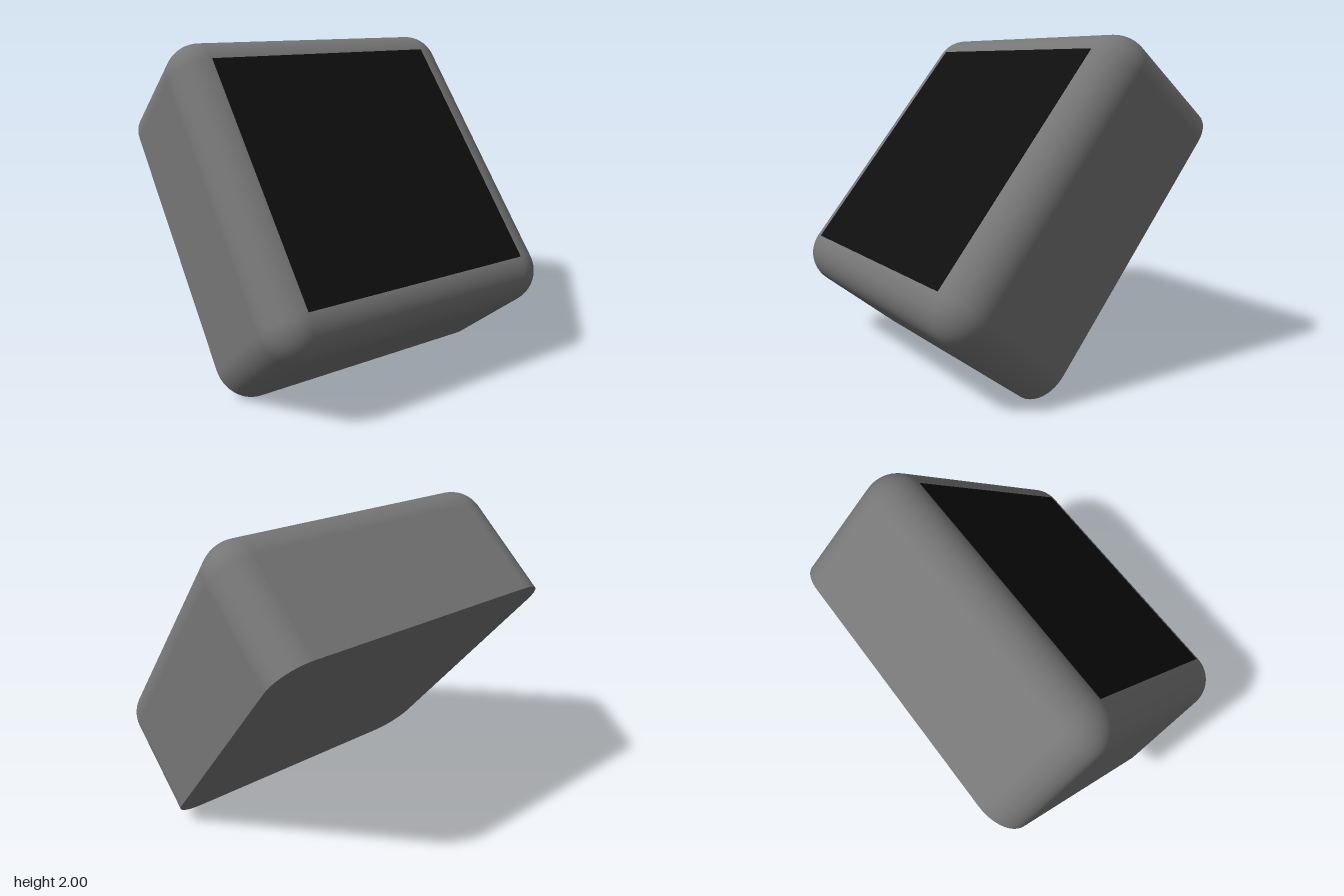
import * as THREE from 'three';
import { RoundedBoxGeometry } from 'three/addons/geometries/RoundedBoxGeometry.js';

const HEIGHT = 0.846, RADIUS = 0.212, TILT = 0.89;

// Rounded block whose lower half is flattened into a sharp-edged flat base
function flatBackedBlock() {
  const geo = new RoundedBoxGeometry(2, HEIGHT * 2, 2, 8, RADIUS);
  const pos = geo.attributes.position, nor = geo.attributes.normal;
  for (let i = 0; i < pos.count; i += 3) {
    const corners = [i, i + 1, i + 2];
    const onBase = corners.every((c) => pos.getY(c) < 0);
    for (const c of corners) {
      if (pos.getY(c) < 0) pos.setY(c, 0);
      if (onBase) nor.setXYZ(c, 0, -1, 0);
    }
  }
  return geo;
}

export function createModel() {
  const casingGrey = new THREE.MeshStandardMaterial({ color: 0x757575 });
  casingGrey.name = 'casingGrey';
  const screenBlack = new THREE.MeshStandardMaterial({ color: 0x0e0e0e });
  screenBlack.name = 'screenBlack';

  // Casing
  const casing = new THREE.Mesh(flatBackedBlock(), casingGrey);
  casing.name = 'casing';

  // Square screen filling the flat part of the top
  const side = 1.576;
  const screen = new THREE.Mesh(new THREE.BoxGeometry(side, 0.004, side), screenBlack);
  screen.name = 'screen';
  screen.position.y = HEIGHT + 0.001;

  // Whole unit leans over on one edge of its base
  const unit = new THREE.Group();
  unit.name = 'tiltedUnit';
  unit.add(casing, screen);
  unit.rotation.z = -TILT;
  unit.position.set(-0.285, Math.sin(TILT), 0);

  const model = new THREE.Group();
  model.name = 'tiltedScreenBlock';
  model.add(unit);
  return model;
}
